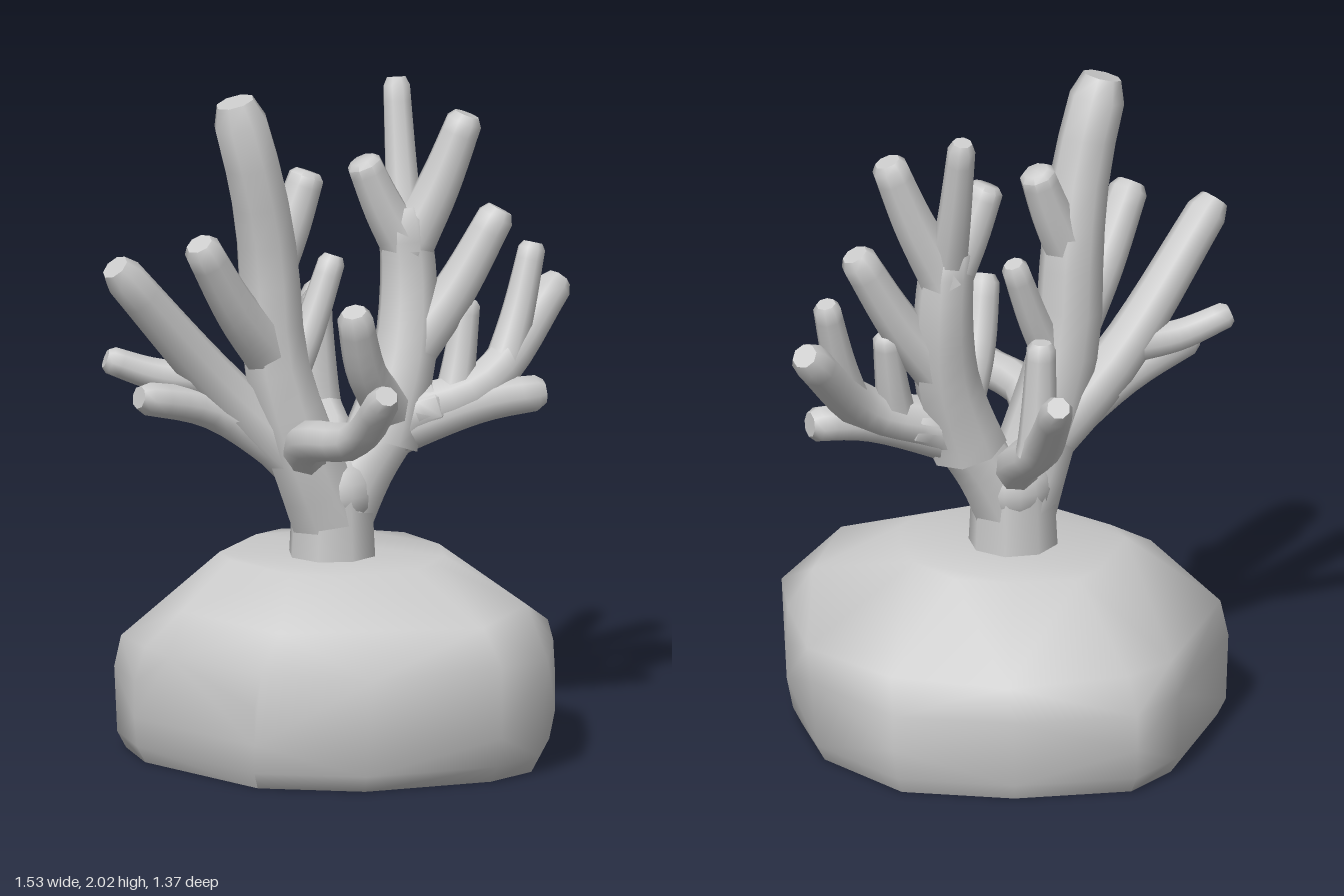
import * as THREE from 'three';
import { toCreasedNormals } from 'three/addons/utils/BufferGeometryUtils.js';
import { ConvexGeometry } from 'three/addons/geometries/ConvexGeometry.js';

const stone = new THREE.MeshStandardMaterial({ color: 0xcccccc });
stone.name = 'pale grey';

// Tapered tube along a curve, from radius r0 to r1, closed by a bevelled tip
function taperedTube(curve, r0, r1) {
  const sides = 8, segs = 12, rim = segs - 2;
  const geo = new THREE.TubeGeometry(curve, segs, 1, sides, false);
  const pos = geo.attributes.position;
  const v = new THREE.Vector3();
  for (let i = 0; i <= segs; i++) {
    // the last three rings form the rim, the bevel and the centre of the tip
    const t = Math.min(i / rim, 1);
    const centre = curve.getPointAt(i / segs);
    const place = curve.getPointAt(i > rim ? 1 : t * 0.95);
    const r = i === segs ? 0 : i > rim ? r1 * 0.7 : r0 + (r1 - r0) * Math.pow(t, 0.7);
    for (let j = 0; j <= sides; j++) {
      const k = i * (sides + 1) + j;
      v.fromBufferAttribute(pos, k).sub(centre).multiplyScalar(r).add(place);
      pos.setXYZ(k, v.x, v.y, v.z);
    }
  }
  return toCreasedNormals(geo, 0.95);
}

// Boulder: one uneven outline scaled per level, with alternate corners dropped to make facets
function makeRock() {
  const outline = [
    [0, -0.68], [0.34, -0.52], [0.6, -0.27], [0.64, 0.1], [0.52, 0.4], [0.38, 0.61], [0.2, 0.68],
    [-0.22, 0.63], [-0.5, 0.43], [-0.61, 0.05], [-0.645, -0.07], [-0.6, -0.29], [-0.43, -0.42], [-0.2, -0.61],
  ];
  const points = [];
  const addLevel = (y, scale, shiftZ, first, step) => {
    for (let i = first; i < outline.length; i += step) {
      points.push(new THREE.Vector3(outline[i][0] * scale, y, outline[i][1] * scale + shiftZ));
    }
  };
  addLevel(0, 0.94, -0.01, 0, 1);
  addLevel(0.05, 0.98, -0.01, 0, 1);
  addLevel(0.14, 1, 0, 0, 2);
  addLevel(0.25, 1, 0, 0, 1);
  addLevel(0.35, 0.99, 0.03, 1, 2);
  addLevel(0.36, 0.97, 0.03, 0, 2);
  addLevel(0.47, 0.82, 0.07, 0, 2);
  addLevel(0.59, 0.51, -0.03, 0, 1);
  const mesh = new THREE.Mesh(toCreasedNormals(new ConvexGeometry(points), 1.1), stone);
  mesh.name = 'rock';
  return mesh;
}

function makeCoral() {
  const coral = new THREE.Group();
  coral.name = 'coral';

  const addBranch = (name, points, r0, r1) => {
    const curve = new THREE.CatmullRomCurve3(points, false, 'centripetal');
    const mesh = new THREE.Mesh(taperedTube(curve, r0, r1), stone);
    mesh.name = name;
    coral.add(mesh);
    return curve;
  };
  // A branch leaves its parent at fraction t and passes through the given points
  const grow = (name, parent, t, r, ...path) => {
    const points = [parent.getPointAt(t), ...path.map(p => new THREE.Vector3(...p))];
    return addBranch(name, points, r * 1.5, r);
  };
  // A twig has only a tip; its middle sags a little
  const twig = (name, parent, t, r, ...tip) => {
    const start = parent.getPointAt(t), end = new THREE.Vector3(...tip);
    const middle = start.clone().lerp(end, 0.5);
    middle.y -= start.distanceTo(end) * 0.06;
    addBranch(name, [start, middle, end], r * 1.5, r);
  };

  // Stem, with a rounded crotch where the limbs part
  const stem = addBranch('stem', [0.5, 0.65, 0.8].map(y => new THREE.Vector3(-0.015, y, -0.01)), 0.142, 0.125);
  const crotch = new THREE.Mesh(new THREE.SphereGeometry(0.128, 16, 10), stone);
  crotch.name = 'crotch';
  crotch.position.set(-0.01, 0.78, -0.01);
  coral.add(crotch);

  // Right side
  const rightTrunk = grow('rightTrunk', stem, 0.6, 0.084, [-0.12, 0.92, 0], [-0.2, 1.2, -0.02], [-0.225, 1.52, -0.02], [-0.27, 1.73, 0], [-0.345, 2, 0]);
  twig('rightTrunkTwig', rightTrunk, 0.6, 0.055, -0.09, 1.76, -0.02);
  twig('rightUpperTwig', rightTrunk, 0.4, 0.058, -0.505, 1.6, 0.08);
  twig('rightInnerTwig', rightTrunk, 0.33, 0.042, 0.005, 1.49, -0.04);
  const rightOuter = grow('rightOuterBranch', rightTrunk, 0.14, 0.062, [-0.34, 1.1, -0.06], [-0.73, 1.53, -0.03]);
  twig('rightSmallTwig', rightOuter, 0.45, 0.042, -0.69, 1.22, -0.17);
  grow('rightLowerBranch', rightTrunk, 0.14, 0.05, [-0.38, 1.05, -0.06], [-0.64, 1.12, -0.05]);
  grow('frontBranch', rightTrunk, 0.16, 0.05, [-0.18, 0.98, 0.16], [-0.145, 1.03, 0.4], [-0.16, 1.21, 0.63]);

  // Left side
  const leftLimb = grow('leftLimb', stem, 0.6, 0.08, [0.1, 0.88, 0.01], [0.2, 0.99, 0.03], [0.32, 1.03, 0.07]);
  const leftTrunk = grow('leftTrunk', leftLimb, 0.55, 0.08, [0.22, 1.17, 0], [0.25, 1.4, -0.03], [0.235, 1.62, -0.04]);
  twig('leftForkInner', leftTrunk, 0.82, 0.054, 0.105, 1.77, -0.05);
  twig('leftForkMiddle', leftTrunk, 0.82, 0.042, 0.28, 1.98, -0.17);
  twig('leftForkOuter', leftTrunk, 0.82, 0.056, 0.42, 1.89, 0.02);
  twig('leftUpperTwig', leftTrunk, 0.35, 0.057, 0.51, 1.6, 0.06);
  grow('leftFrontTwig', leftLimb, 0.7, 0.054, [0.03, 1.16, 0.13], [-0.05, 1.37, 0.2]);
  grow('leftLowerBranch', leftLimb, 0.6, 0.055, [0.42, 1.03, 0.11], [0.61, 1.05, 0.15]);
  const leftOuter = grow('leftOuterBranch', leftLimb, 0.8, 0.056, [0.44, 1.08, 0.09], [0.74, 1.35, -0.01]);
  twig('leftOuterTwig', leftOuter, 0.5, 0.042, 0.635, 1.48, 0.03);
  twig('leftSmallTwig', leftOuter, 0.2, 0.042, 0.41, 1.33, 0.04);

  // Back
  const back = grow('backBranch', stem, 1, 0.05, [0.07, 0.92, -0.18], [0.09, 0.99, -0.3], [0.23, 1.26, -0.6]);
  twig('backTwig', back, 0.43, 0.044, 0.07, 1.33, -0.28);
  return coral;
}

export function createModel() {
  const model = new THREE.Group();
  model.name = 'coral on rock';
  model.add(makeRock(), makeCoral());
  return model;
}
